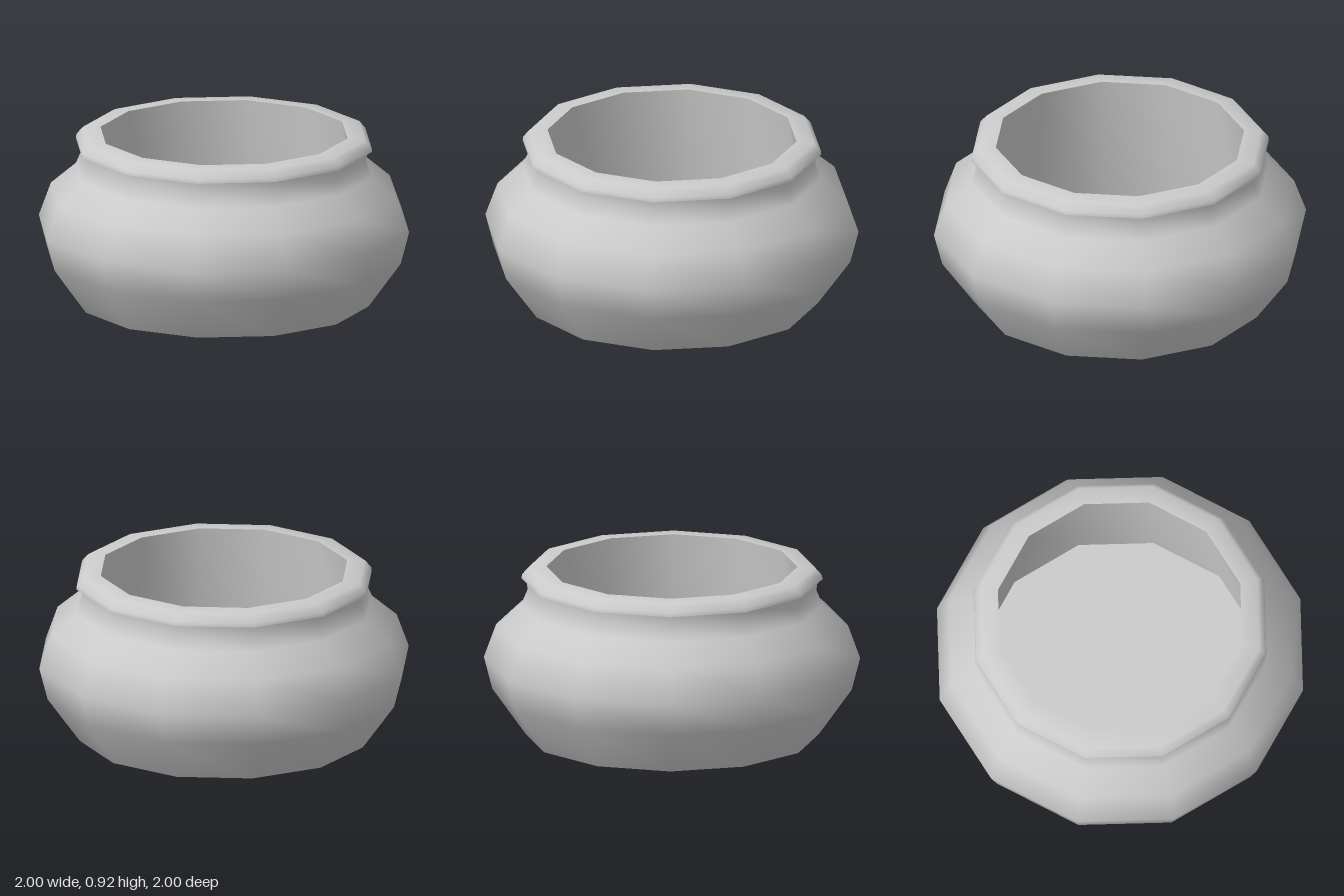
import * as THREE from 'three';
import { mergeVertices } from 'three/addons/utils/BufferGeometryUtils.js';

const SIDES = 12;
const material = new THREE.MeshStandardMaterial({ color: 0xcccccc });

// Each band is smooth within itself; borders between bands stay sharp.
function band(name, profile) {
  const points = profile.map(([r, y]) => new THREE.Vector2(r, y));
  const lathe = new THREE.LatheGeometry(points, SIDES);
  lathe.deleteAttribute('uv');
  lathe.deleteAttribute('normal');
  const geometry = mergeVertices(lathe);
  geometry.computeVertexNormals();
  const mesh = new THREE.Mesh(geometry, material);
  mesh.name = name;
  return mesh;
}

export function createModel() {
  const pot = new THREE.Group();
  pot.name = 'pot';

  pot.add(
    // Flat underside
    band('base', [[0, 0], [0.78, 0]]),
    // Bulging belly rising into the narrow neck
    band('body', [
      [0.78, 0], [0.955, 0.245], [1, 0.42], [0.935, 0.6],
      [0.8, 0.715], [0.768, 0.79], [0.773, 0.853],
    ]),
    // Overhanging rounded lip
    band('lipUnderside', [[0.773, 0.853], [0.8, 0.853]]),
    band('lip', [[0.8, 0.853], [0.797, 0.875], [0.762, 0.915], [0.667, 0.92]]),
    // Inner wall widening down to the floor
    band('innerWall', [[0.667, 0.92], [0.77, 0.015]]),
    band('floor', [[0.77, 0.015], [0, 0.015]]),
  );
  return pot;
}
